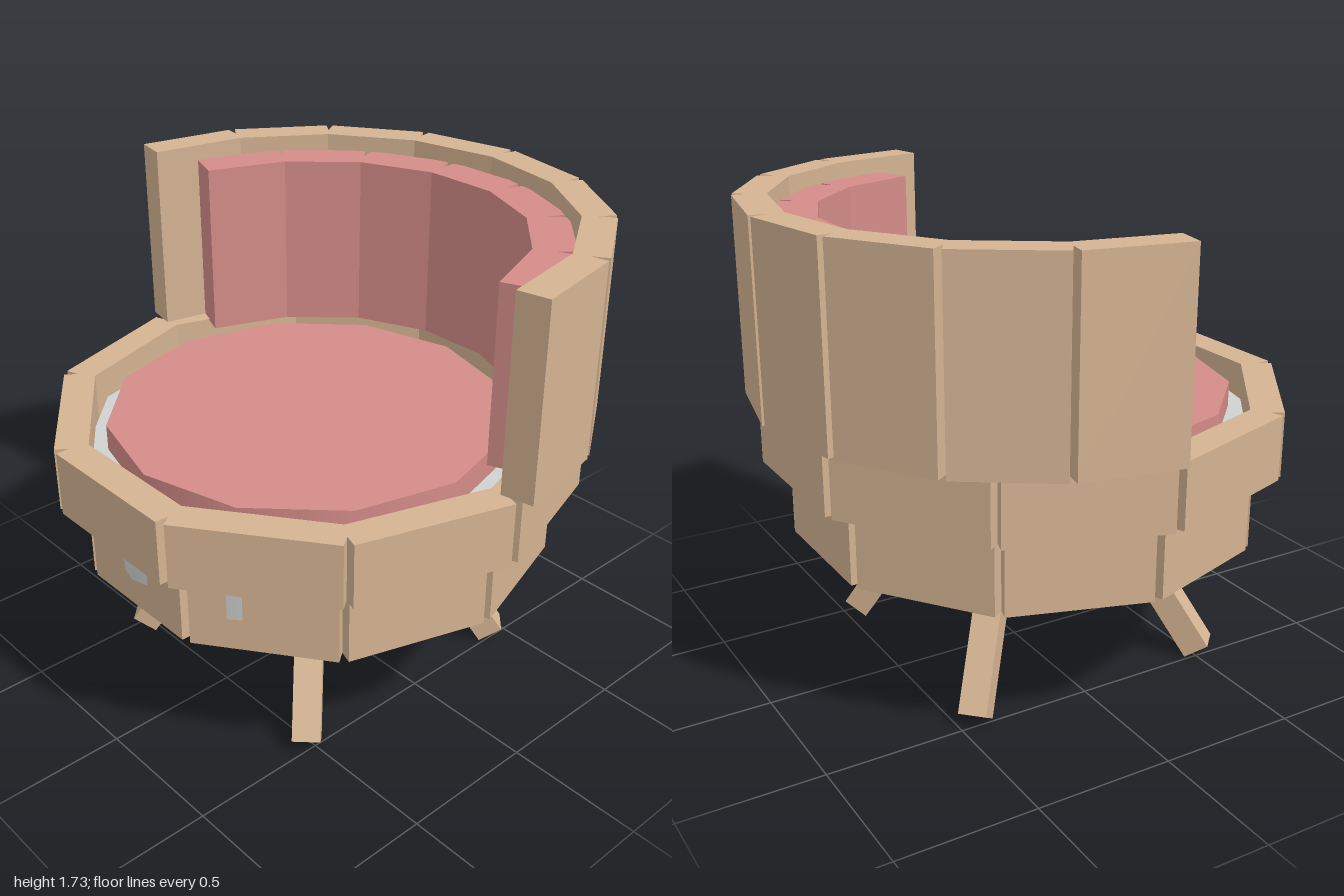
import * as THREE from 'three';

const wood = new THREE.MeshStandardMaterial({ color: 0xd4b392 });
wood.name = 'wood';
const fabric = new THREE.MeshStandardMaterial({ color: 0xd48c88 });
fabric.name = 'pink fabric';
const grey = new THREE.MeshStandardMaterial({ color: 0xcfd2d1 });
grey.name = 'grey panel';

const CENTER_Z = 0.0425;
const rad = THREE.MathUtils.degToRad;

// Upright slabs standing on a circle; angles in degrees from the front (+z).
function slabRing(name, mat, { angles, radius, half, thick, y0, y1 }) {
  const ring = new THREE.Group();
  ring.name = name;
  ring.position.z = CENTER_Z;
  const geo = new THREE.BoxGeometry(half * 2, y1 - y0, thick);
  for (const deg of angles) {
    const a = rad(deg);
    const r = radius - thick / 2;
    const slab = new THREE.Mesh(geo, mat);
    slab.name = name + 'Slab';
    slab.position.set(Math.sin(a) * r, (y0 + y1) / 2, Math.cos(a) * r);
    slab.rotation.y = a;
    ring.add(slab);
  }
  return ring;
}

function drum(name, mat, radius, sides, y0, y1, z, turn = 0) {
  const mesh = new THREE.Mesh(new THREE.CylinderGeometry(radius, radius, y1 - y0, sides), mat);
  mesh.name = name;
  mesh.position.set(0, (y0 + y1) / 2, z);
  mesh.rotation.y = turn;
  return mesh;
}

// Evenly spaced angles centred on a middle angle.
const spread = (count, step, middle) =>
  Array.from({ length: count }, (_, i) => middle + (i - (count - 1) / 2) * step);

export function createModel() {
  const chair = new THREE.Group();
  chair.name = 'barrelChair';

  // Wooden shell: two full rings and the tall back
  const full = spread(10, 36, 18);
  chair.add(slabRing('lowerRing', wood,
    { angles: full, radius: 0.82, half: 0.25, thick: 0.115, y0: 0.515, y1: 0.797 }));
  chair.add(slabRing('upperRing', wood,
    { angles: full, radius: 0.9125, half: 0.28, thick: 0.115, y0: 0.797, y1: 1.033 }));
  chair.add(slabRing('backShell', wood,
    { angles: spread(8, 22.5, 180), radius: 0.983, half: 0.183, thick: 0.118, y0: 1.033, y1: 1.733 }));

  // Padded back
  chair.add(slabRing('backCushion', fabric,
    { angles: spread(7, 23, 180), radius: 0.86, half: 0.16, thick: 0.147, y0: 1.025, y1: 1.675 }));

  // Base, seat panel and seat cushion
  chair.add(drum('base', wood, 0.6, 10, 0.397, 0.64, CENTER_Z, Math.PI / 2));
  chair.add(drum('seatPanel', grey, 0.8, 12, 0.635, 0.92, 0.08));
  chair.add(drum('seatCushion', fabric, 0.72, 12, 0.92, 1.015, 0.08));

  // Four square legs splayed along the diagonals
  const tilt = rad(33);
  const length = 0.56;
  const legGeo = new THREE.BoxGeometry(0.1, length, 0.1).translate(0, length / 2, 0);
  for (let i = 0; i < 4; i++) {
    const leg = new THREE.Mesh(legGeo, wood);
    leg.name = 'leg';
    leg.position.set(0, 0.0275, 0.679);
    leg.rotation.x = -tilt;
    const pivot = new THREE.Group();
    pivot.name = 'legMount';
    pivot.position.z = CENTER_Z;
    pivot.rotation.y = Math.PI / 4 + i * Math.PI / 2;
    pivot.add(leg);
    chair.add(pivot);
  }
  return chair;
}
